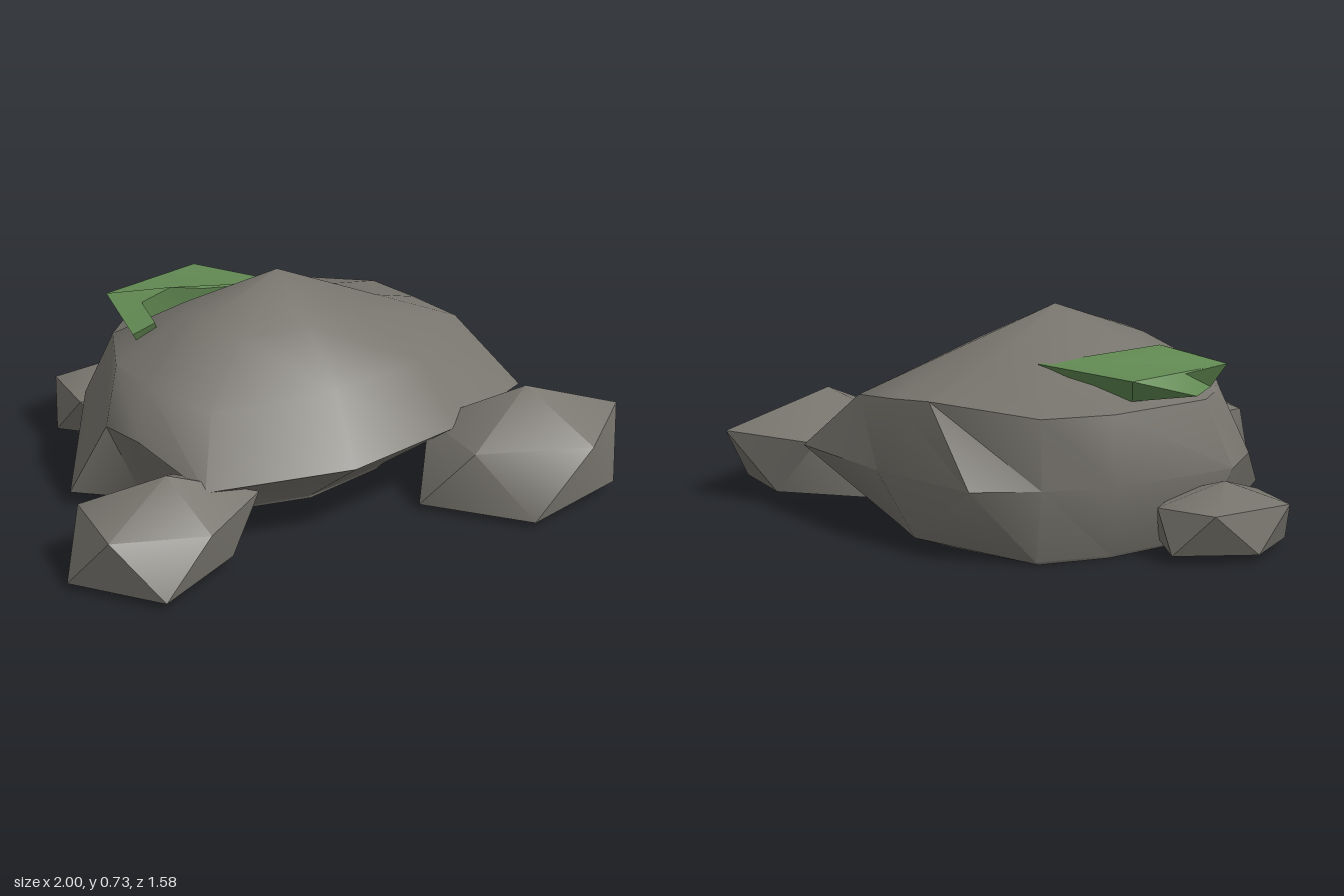
import * as THREE from 'three';
import { toCreasedNormals } from 'three/addons/utils/BufferGeometryUtils.js';

const stone = new THREE.MeshStandardMaterial({ name: 'stone grey', color: 0x77746d });
const moss = new THREE.MeshStandardMaterial({ name: 'moss green', color: 0x628a53 });

// Skins rings of [x, y, z] points (bottom to top, each counter-clockwise from above).
// The top closes on a peak if one is given, otherwise with a flat cap.
function loft(rings, peak) {
  const pos = [];
  const tri = (a, b, c) => pos.push(...a, ...b, ...c);
  const cap = (ring, up) => {
    const flat = ring.map(([x, , z]) => new THREE.Vector2(x, -z));
    for (const [a, b, c] of THREE.ShapeUtils.triangulateShape(flat, [])) {
      if (up) tri(ring[a], ring[b], ring[c]);
      else tri(ring[a], ring[c], ring[b]);
    }
  };
  const n = rings[0].length;
  for (let r = 0; r < rings.length - 1; r++) {
    const lo = rings[r], hi = rings[r + 1];
    for (let i = 0; i < n; i++) {
      const j = (i + 1) % n;
      tri(lo[i], lo[j], hi[i]);
      tri(lo[j], hi[j], hi[i]);
    }
  }
  cap(rings[0], false);
  const top = rings[rings.length - 1];
  if (peak) top.forEach((p, i) => tri(p, top[(i + 1) % n], peak));
  else cap(top, true);
  const geo = new THREE.BufferGeometry();
  geo.setAttribute('position', new THREE.Float32BufferAttribute(pos, 3));
  return toCreasedNormals(geo, 0.7);
}

export function createModel() {
  const group = new THREE.Group();
  const add = (name, geo, mat) => {
    const mesh = new THREE.Mesh(geo, mat);
    mesh.name = name;
    group.add(mesh);
  };

  // Large boulder: flat sole, foot, wide belly, shoulder, domed top
  const foot = [
    [-0.05, 0.01, 0.27], [0.28, 0.02, 0.16], [0.53, 0.05, 0.02], [0.54, 0.05, -0.16],
    [0.53, 0.05, -0.32], [0.2, 0.01, -0.57], [-0.05, 0.01, -0.57], [-0.41, 0.01, -0.47],
    [-0.6, 0.02, -0.25], [-0.8, 0.05, -0.01], [-0.58, 0.03, 0.1], [-0.3, 0.01, 0.25],
  ];
  const sole = foot.map(([x, y, z]) => [x * (1 - 5 * y), 0, z * (1 - y)]);
  const belly = [
    [-0.05, 0.25, 0.61], [0.4, 0.25, 0.45], [0.78, 0.25, 0.21], [0.62, 0.25, -0.19],
    [0.41, 0.25, -0.54], [0.19, 0.25, -0.6], [-0.05, 0.25, -0.63], [-0.49, 0.25, -0.52],
    [-0.62, 0.25, -0.35], [-0.7, 0.31, 0.09], [-0.65, 0.31, 0.25], [-0.55, 0.25, 0.57],
  ];
  const shoulder = [
    [-0.05, 0.47, 0.47], [0.33, 0.45, 0.32], [0.63, 0.46, 0.01], [0.56, 0.48, -0.17],
    [0.48, 0.5, -0.33], [0.19, 0.48, -0.59], [-0.05, 0.48, -0.6], [-0.42, 0.47, -0.45],
    [-0.53, 0.47, -0.3], [-0.62, 0.47, -0.02], [-0.58, 0.46, 0.15], [-0.45, 0.43, 0.38],
  ];
  const peak = [-0.05, 0.73, 0];
  // Rise and fall of the dome: a hump on the right, a hollow behind the peak
  const swell = [0.02, 0.02, 0, -0.02, -0.03, -0.05, -0.04, -0.02, 0.01, 0.03, 0.04, 0.02];
  const dome = shoulder.map((p, i) => {
    const q = p.map((v, k) => v + (peak[k] - v) * 0.45);
    q[1] += swell[i];
    return q;
  });
  add('boulder', loft([sole, foot, belly, shoulder, dome], peak), stone);

  // Three small rocks: a five-sided lower and upper ring set half a step apart
  add('frontRightRock', loft([
    [[-1, 0.02, 0.54], [-0.77, 0.02, 0.79], [-0.48, 0.04, 0.62], [-0.47, 0.03, 0.38], [-0.76, 0.02, 0.31]],
    [[-0.91, 0.2, 0.68], [-0.6, 0.19, 0.74], [-0.36, 0.21, 0.55], [-0.55, 0.2, 0.3], [-0.91, 0.21, 0.4]],
  ], [-0.66, 0.31, 0.52]), stone);
  add('frontLeftRock', loft([
    [[0.24, 0.02, 0.5], [0.52, 0.02, 0.78], [0.9, 0.04, 0.65], [0.85, 0.05, 0.36], [0.5, 0.02, 0.27]],
    [[0.36, 0.24, 0.65], [0.74, 0.24, 0.76], [1, 0.25, 0.49], [0.73, 0.24, 0.25], [0.36, 0.24, 0.33]],
  ], [0.63, 0.38, 0.5]), stone);
  add('backRock', loft([
    [[-0.65, 0.02, -0.59], [-0.48, 0.02, -0.44], [-0.24, 0.03, -0.5], [-0.21, 0.03, -0.7], [-0.48, 0.03, -0.77]],
    [[-0.6, 0.16, -0.47], [-0.33, 0.17, -0.45], [-0.19, 0.17, -0.62], [-0.32, 0.175, -0.79], [-0.61, 0.17, -0.71]],
  ], [-0.42, 0.24, -0.62]), stone);

  // Moss slab over the back of the boulder, its underside drawn in and sunk
  const mossTop = [
    [-0.51, 0.575, -0.41], [-0.53, 0.535, -0.1], [-0.45, 0.565, -0.1], [-0.44, 0.585, -0.25],
    [-0.33, 0.62, -0.26], [-0.22, 0.605, -0.24], [0.09, 0.58, -0.25], [-0.12, 0.575, -0.57],
    [-0.33, 0.57, -0.49],
  ];
  const mossBase = mossTop.map(([x, y, z]) => [-0.25 + (x + 0.25) * 0.82, y - 0.08, -0.3 + (z + 0.3) * 0.76]);
  mossBase[8] = [-0.36, 0.5, -0.52]; // lower back corner juts out
  add('mossPatch', loft([mossBase, mossTop]), moss);

  return group;
}
